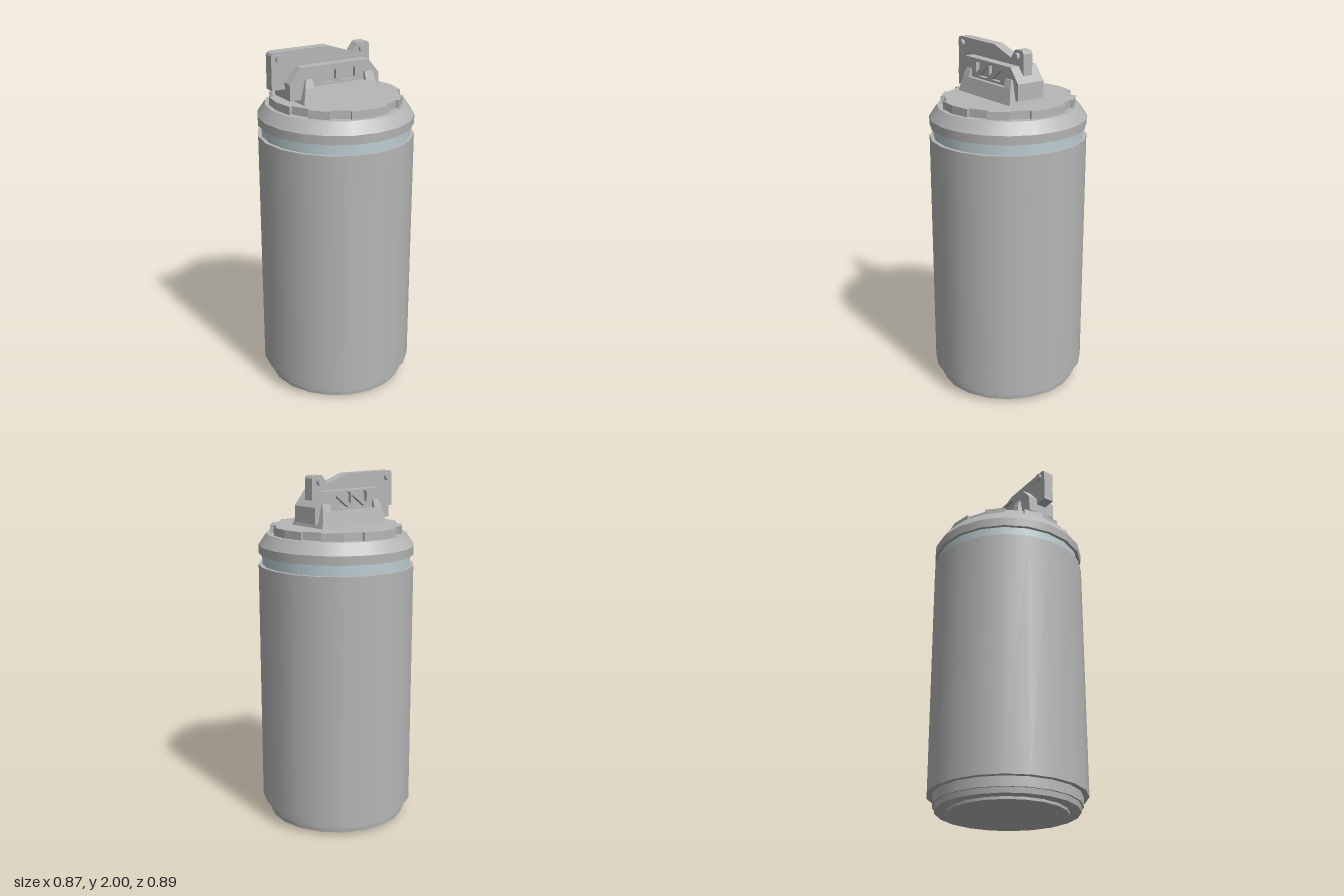
import * as THREE from 'three';

const grey = new THREE.MeshStandardMaterial({ color: 0xb6b6b6 });
grey.name = 'metal grey';
const paleBlue = new THREE.MeshStandardMaterial({ color: 0xbccdd1 });
paleBlue.name = 'pale blue';

const SIDES = 20;
const MID_Z = 0.013; // the lever assembly sits slightly forward

function add(parent, name, geometry, material = grey) {
  const mesh = new THREE.Mesh(geometry, material);
  mesh.name = name;
  parent.add(mesh);
  return mesh;
}

// Round tier from y0 (radius r0) to y1 (radius r1)
function tier(parent, name, y0, r0, y1, r1, material) {
  const g = new THREE.CylinderGeometry(r1, r0, y1 - y0, SIDES);
  g.translate(0, (y0 + y1) / 2, 0);
  return add(parent, name, g, material);
}

function shapeOf(points) {
  return new THREE.Shape(points.map(([x, y]) => new THREE.Vector2(x, y)));
}

// Flat outline in x/y, extruded from z0 to z1
function slab(shape, z0, z1) {
  const g = new THREE.ExtrudeGeometry(shape, { depth: z1 - z0, bevelEnabled: false });
  return g.translate(0, 0, z0);
}

// Box whose top is narrowed: lower and upper are [xMin, xMax, halfDepth]
function taperedBox(y0, y1, lower, upper) {
  const g = new THREE.BoxGeometry(1, 1, 1).toNonIndexed();
  const p = g.attributes.position;
  for (let i = 0; i < p.count; i++) {
    const top = p.getY(i) > 0;
    const [a, b, d] = top ? upper : lower;
    p.setXYZ(i, p.getX(i) > 0 ? b : a, top ? y1 : y0, MID_Z + (p.getZ(i) > 0 ? d : -d));
  }
  g.computeVertexNormals();
  return g;
}

function buildCan() {
  const can = new THREE.Group();
  can.name = 'can';
  tier(can, 'base disc', 0, 0.337, 0.03, 0.337);
  tier(can, 'lower base ring', 0.015, 0.4, 0.05, 0.404);
  tier(can, 'upper base ring', 0.045, 0.414, 0.12, 0.414);
  tier(can, 'body', 0.1, 0.445, 1.5, 0.445);
  tier(can, 'neck band', 1.49, 0.424, 1.57, 0.424, paleBlue);
  tier(can, 'cap rim', 1.56, 0.443, 1.61, 0.445);
  tier(can, 'cap shoulder', 1.61, 0.445, 1.675, 0.4);

  // Notched lid: raised and cut-back sectors, mirrored in both axes
  const outline = [];
  for (let i = 0; i < SIDES; i++) {
    const k = i % 10;
    const cut = k === 1 || k === 3 || k === 6 || k === 8;
    const r = cut ? 0.356 : 0.377;
    for (const j of [i, i + 1]) {
      const a = (j / SIDES) * Math.PI * 2;
      const p = [r * Math.sin(a), -r * Math.cos(a)];
      const last = outline[outline.length - 1];
      const same = last && Math.hypot(last[0] - p[0], last[1] - p[1]) < 1e-6;
      if (!same && !(i === SIDES - 1 && j === SIDES)) outline.push(p);
    }
  }
  const lid = slab(shapeOf(outline), 1.66, 1.72);
  lid.translate(0, 0, -1.66).rotateX(-Math.PI / 2).translate(0, 1.66, 0);
  add(can, 'notched lid', lid);
  can.scale.x = 0.983;
  return can;
}

function buildMount() {
  const mount = new THREE.Group();
  mount.name = 'mount';

  // Sloping foot with a raised bracket at each end
  add(mount, 'foot', taperedBox(1.72, 1.805, [-0.277, 0.2, 0.13], [-0.257, 0.181, 0.11]));
  add(mount, 'right bracket', taperedBox(1.805, 1.85, [-0.257, -0.205, 0.11], [-0.246, -0.205, 0.095]));
  add(mount, 'left bracket', taperedBox(1.805, 1.85, [0.12, 0.181, 0.11], [0.12, 0.17, 0.095]));

  // Housing: solid core with a pierced panel on each side
  const outline = [
    [-0.338, 1.742], [0.217, 1.742], [0.217, 1.833], [0.15, 1.914], [-0.268, 1.914], [-0.338, 1.833],
  ];
  const half = 0.086, recess = 0.022;
  add(mount, 'housing core', slab(shapeOf(outline), MID_Z - half + recess, MID_Z + half - recess));

  const panel = shapeOf(outline);
  for (const x of [-0.165, -0.045]) {
    const w = 0.11, y0 = 1.818, y1 = 1.904, c = 0.012, bar = 0.018;
    const triangles = [
      [[x, y0 + bar], [x + w - bar, y1], [x + c, y1], [x, y1 - c]],
      [[x + bar, y0], [x + w - c, y0], [x + w, y0 + c], [x + w, y1 - bar]],
    ];
    for (const t of triangles) {
      panel.holes.push(new THREE.Path(t.map(([a, b]) => new THREE.Vector2(a, b))));
    }
  }
  add(mount, 'front housing panel', slab(panel, MID_Z + half - recess, MID_Z + half));
  add(mount, 'back housing panel', slab(panel, MID_Z - half, MID_Z - half + recess));
  return mount;
}

function buildLever() {
  const lever = new THREE.Group();
  lever.name = 'lever';

  // Flat plate with clipped corners and a raised hinge lug
  add(lever, 'lever plate', slab(shapeOf([
    [-0.415, 1.797], [-0.3, 1.797], [-0.22, 1.85], [0.19, 1.85],
    [0.19, 1.982], [0.184, 1.994], [0.172, 2], [0.125, 2], [0.113, 1.994], [0.105, 1.982],
    [0.082, 1.95], [-0.07, 2], [-0.395, 2], [-0.409, 1.994], [-0.415, 1.98],
  ]), MID_Z - 0.03, MID_Z + 0.03));

  for (const [name, x] of [['right pin', -0.371], ['left pin', 0.14]]) {
    const pin = new THREE.CylinderGeometry(0.02, 0.02, 0.096, 10).rotateX(Math.PI / 2);
    add(lever, name, pin.translate(x, 1.965, MID_Z));
  }
  return lever;
}

export function createModel() {
  const model = new THREE.Group();
  model.name = 'canister';
  model.add(buildCan(), buildMount(), buildLever());
  return model;
}
